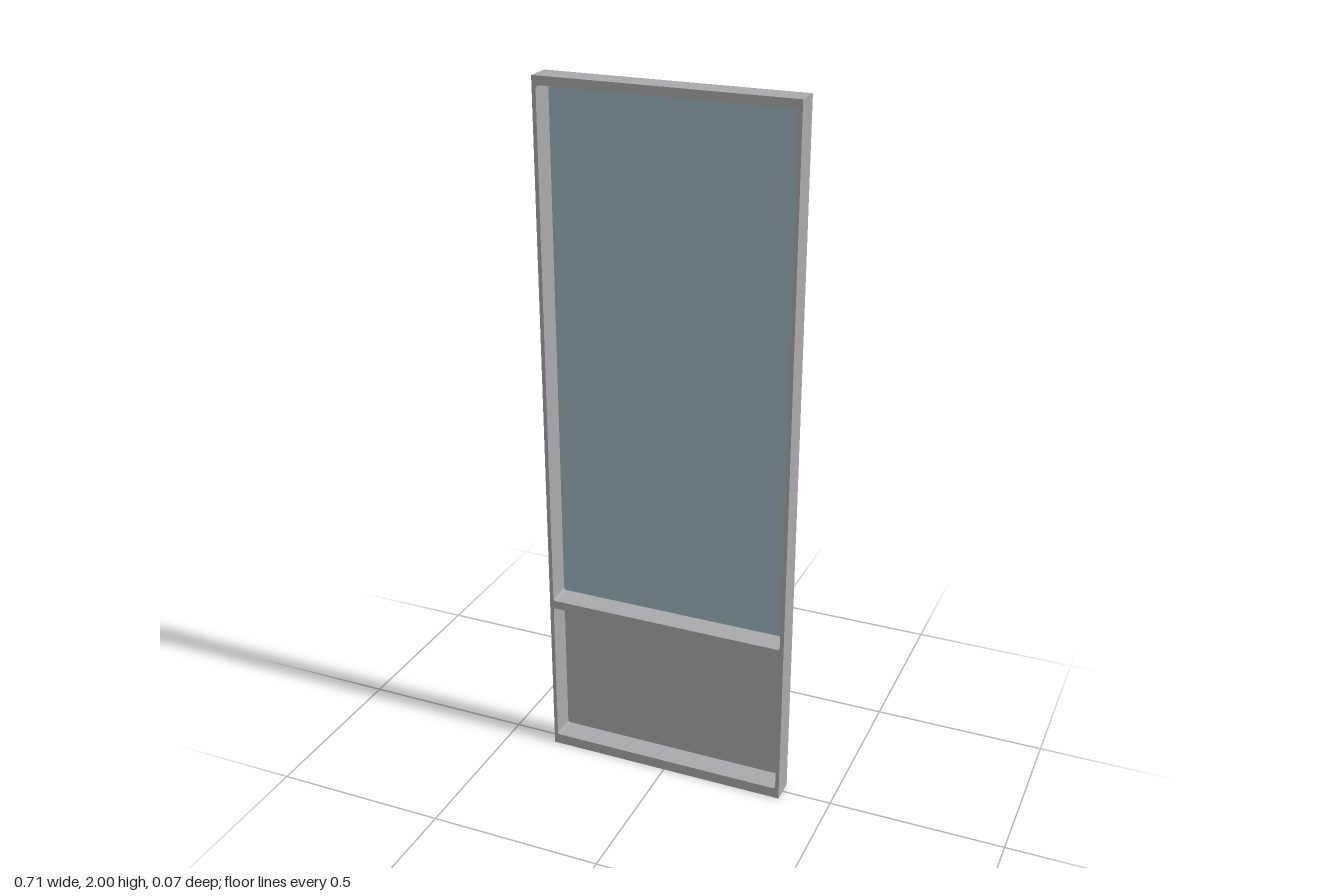
import * as THREE from 'three';

const HALF_W = 0.357, FRONT = 0.036, BACK = -0.036;
// openings: half width, bottom, top
const OPEN_HALF_W = 0.346;
const UPPER = [0.493, 1.976];
const LOWER = [0.031, 0.468];

// Rounded rectangle path used for both the openings and the infill panels
function roundedRect(target, halfW, y0, y1, r) {
  target.moveTo(-halfW + r, y0);
  target.lineTo(halfW - r, y0);
  target.quadraticCurveTo(halfW, y0, halfW, y0 + r);
  target.lineTo(halfW, y1 - r);
  target.quadraticCurveTo(halfW, y1, halfW - r, y1);
  target.lineTo(-halfW + r, y1);
  target.quadraticCurveTo(-halfW, y1, -halfW, y1 - r);
  target.lineTo(-halfW, y0 + r);
  target.quadraticCurveTo(-halfW, y0, -halfW + r, y0);
  return target;
}

function extrude(shape, z0, z1) {
  const geo = new THREE.ExtrudeGeometry(shape, { depth: z1 - z0, bevelEnabled: false, curveSegments: 4 });
  return geo.translate(0, 0, z0);
}

export function createModel() {
  const grey = new THREE.MeshStandardMaterial({ name: 'grey metal', color: 0xaaaaac });
  const blue = new THREE.MeshStandardMaterial({ name: 'pale blue glass', color: 0x9db6be });
  const model = new THREE.Group();
  model.name = 'panelledDoor';

  const add = (name, geometry, material) => {
    const mesh = new THREE.Mesh(geometry, material);
    mesh.name = name;
    model.add(mesh);
  };

  // Frame with two openings, separated by the middle rail
  const outline = new THREE.Shape([
    new THREE.Vector2(-HALF_W, 0), new THREE.Vector2(HALF_W, 0),
    new THREE.Vector2(HALF_W, 2), new THREE.Vector2(-HALF_W, 2),
  ]);
  for (const [y0, y1] of [UPPER, LOWER]) {
    outline.holes.push(roundedRect(new THREE.Path(), OPEN_HALF_W, y0, y1, 0.008));
  }
  add('frame', extrude(outline, BACK, FRONT), grey);

  // Thin infill panels closing the back of the openings, slightly proud of the frame
  const panel = ([y0, y1]) =>
    extrude(roundedRect(new THREE.Shape(), OPEN_HALF_W, y0, y1, 0.008), BACK - 0.002, BACK + 0.002);
  add('glassPane', panel(UPPER), blue);
  add('kickPanel', panel(LOWER), grey);

  // Centre the depth including the proud panels
  for (const mesh of model.children) mesh.position.z = 0.001;
  return model;
}
